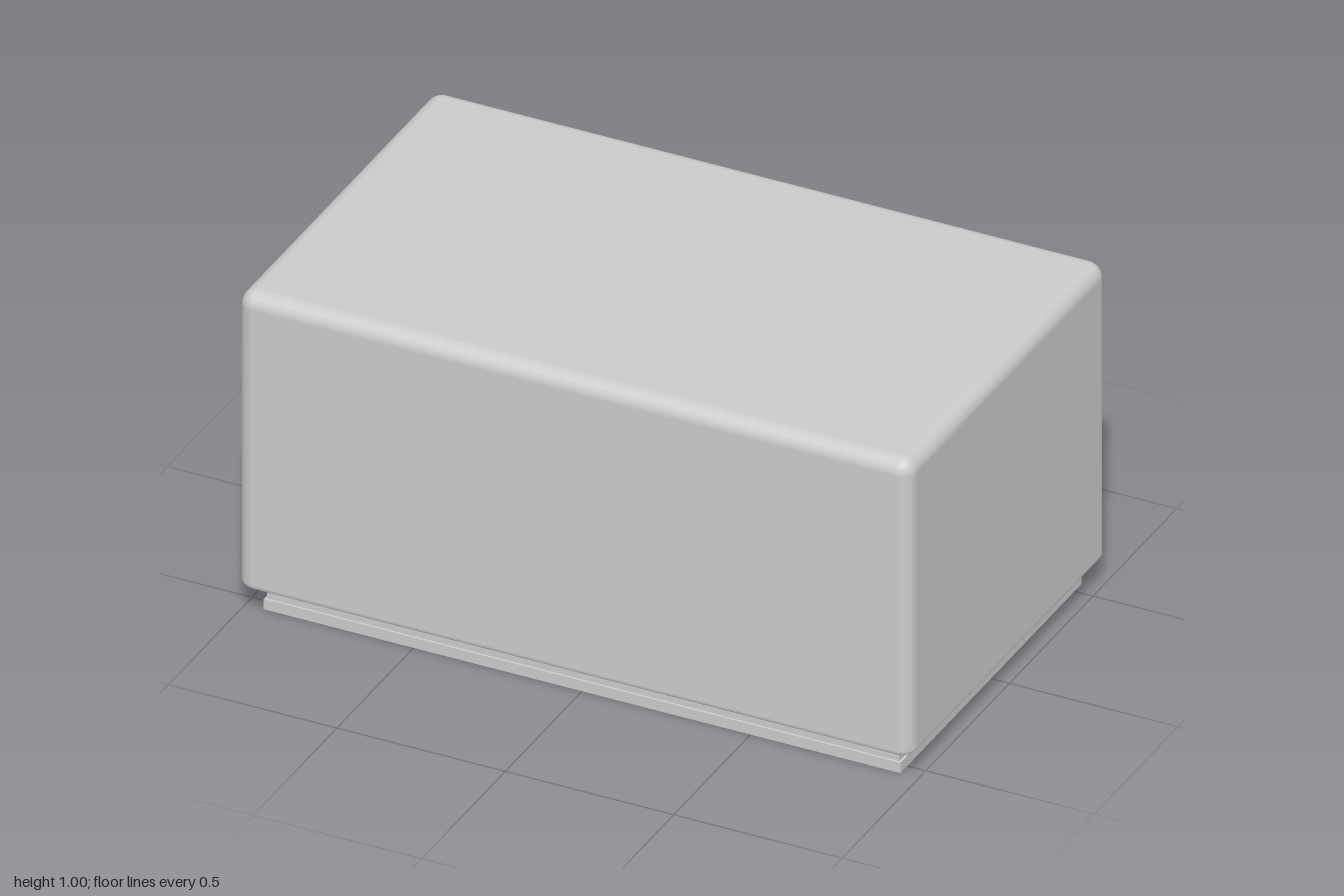
import * as THREE from 'three';
import { RoundedBoxGeometry } from 'three/addons/geometries/RoundedBoxGeometry.js';

const material = new THREE.MeshStandardMaterial({ color: 0xcccccc, side: THREE.DoubleSide });
const BACK = -0.589;

function addMesh(parent, name, geometry) {
  const mesh = new THREE.Mesh(geometry, material);
  mesh.name = name;
  parent.add(mesh);
  return mesh;
}

// Hollow rectangular rim, standing between two heights
function rim(halfX, halfZ, wall, y0, y1) {
  const rectangle = (Type, x, z) => new Type([
    new THREE.Vector2(-x, -z), new THREE.Vector2(x, -z),
    new THREE.Vector2(x, z), new THREE.Vector2(-x, z),
  ]);
  const shape = rectangle(THREE.Shape, halfX, halfZ);
  shape.holes.push(rectangle(THREE.Path, halfX - wall, halfZ - wall));
  const geometry = new THREE.ExtrudeGeometry(shape, { depth: y1 - y0, bevelEnabled: false });
  return geometry.rotateX(-Math.PI / 2).translate(0, y0, 0);
}

// Raised bead along [x, y] points on the back wall, with rounded ends
function addBead(parent, name, points, segments) {
  const group = new THREE.Group();
  group.name = name;
  const path = points.map(([x, y]) => new THREE.Vector3(x, y, BACK));
  const curve = new THREE.CatmullRomCurve3(path);
  addMesh(group, 'bead', new THREE.TubeGeometry(curve, segments, 0.009, 8));
  for (const end of [path[0], path[path.length - 1]]) {
    addMesh(group, 'beadEnd', new THREE.SphereGeometry(0.009, 8, 6)).position.copy(end);
  }
  parent.add(group);
}

export function createModel() {
  const model = new THREE.Group();
  model.name = 'lid';

  // Rounded body with a tighter radius along its lower edge
  const radius = 0.045;
  const body = new RoundedBoxGeometry(2, 0.925, 1.184, 5, radius).translate(0, 0.5375, 0.003);
  const position = body.attributes.position;
  for (let i = 0; i < position.count; i++) {
    const height = position.getY(i) - 0.075;
    if (height <= radius + 1e-4) position.setY(i, 0.075 + height * 0.6);
  }
  addMesh(model, 'body', body);

  // Stepped, hollow foot rim
  addMesh(model, 'upperRim', rim(0.938, 0.534, 0.02, 0.032, 0.085));
  addMesh(model, 'lowerRim', rim(0.945, 0.541, 0.027, 0, 0.032));

  // Flowing lines on either side of the spiral
  const leftLines = [
    [[0.73, 0.76], [0.61, 0.715], [0.44, 0.732], [0.25, 0.81], [0.135, 0.838], [0.036, 0.83]],
    [[0.73, 0.667], [0.61, 0.617], [0.48, 0.61], [0.365, 0.647], [0.27, 0.675]],
    [[0.73, 0.575], [0.59, 0.507], [0.44, 0.507], [0.325, 0.555]],
    [[0.73, 0.478], [0.555, 0.403], [0.42, 0.39], [0.32, 0.418]],
    [[0.73, 0.39], [0.555, 0.323], [0.44, 0.295], [0.27, 0.297]],
    [[0.73, 0.3], [0.555, 0.23], [0.365, 0.205], [0.16, 0.225]],
  ];
  const rightLines = [
    [[-0.193, 0.738], [-0.323, 0.72], [-0.514, 0.745], [-0.715, 0.815]],
    [[-0.29, 0.656], [-0.437, 0.643], [-0.55, 0.655], [-0.715, 0.7]],
    [[-0.31, 0.55], [-0.437, 0.532], [-0.55, 0.537], [-0.715, 0.58]],
    [[-0.31, 0.478], [-0.437, 0.433], [-0.56, 0.426], [-0.715, 0.459]],
    [[-0.31, 0.408], [-0.437, 0.345], [-0.55, 0.317], [-0.715, 0.338]],
    [[-0.262, 0.292], [-0.4, 0.222], [-0.514, 0.203], [-0.715, 0.222]],
  ];
  leftLines.forEach((line) => addBead(model, 'leftFlowLine', line, 28));
  rightLines.forEach((line) => addBead(model, 'rightFlowLine', line, 28));

  // Spiral winding inward
  const spiral = [];
  const turns = 2.75;
  for (let i = 0; i <= 66; i++) {
    const t = i / 66;
    const angle = Math.PI * (7 / 6 + 2 * turns * t);
    const r = 0.24 - 0.21 * t;
    spiral.push([-r * Math.cos(angle), 0.5 + r * Math.sin(angle)]);
  }
  addBead(model, 'spiral', spiral, 160);

  return model;
}
